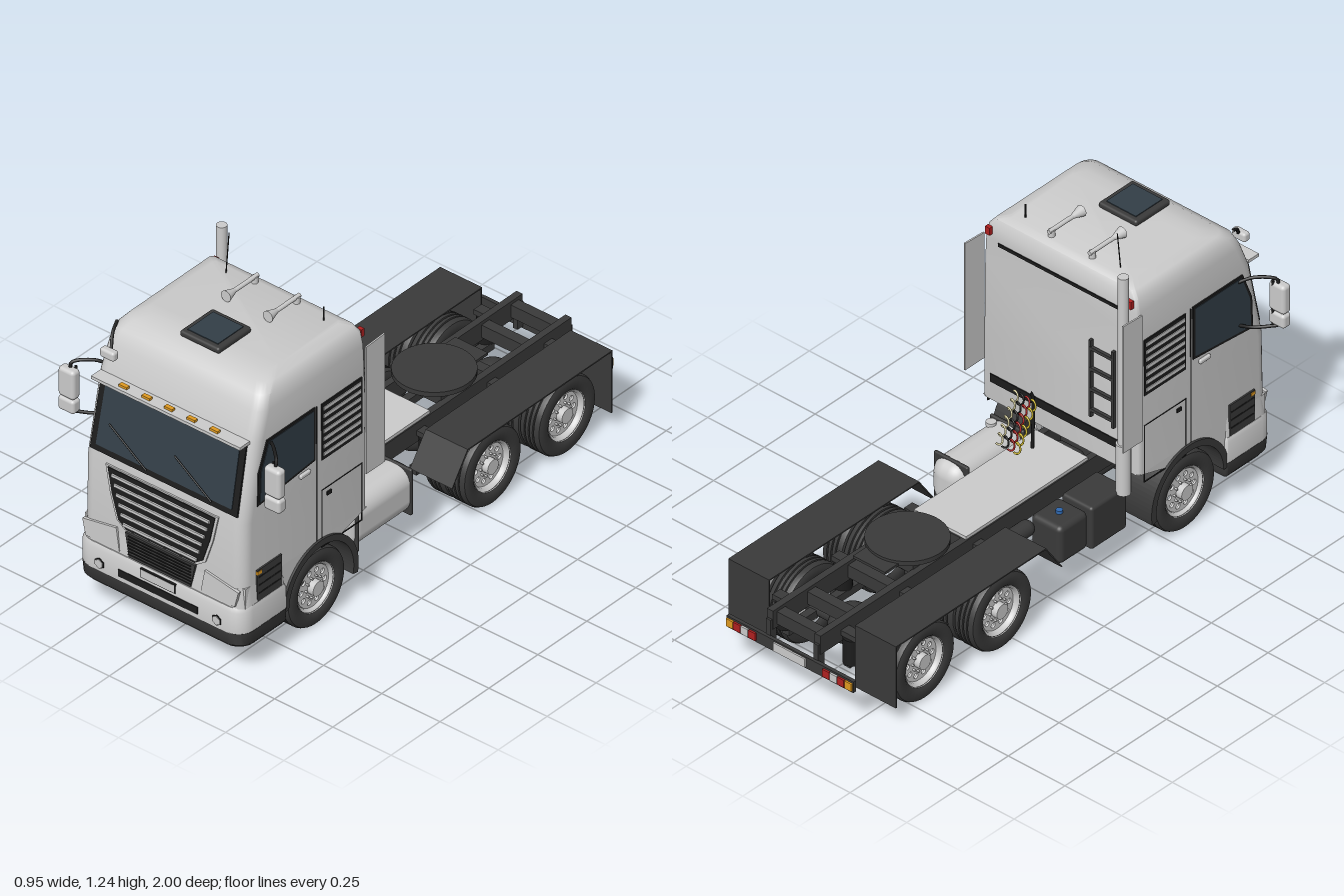
import * as THREE from 'three';
import { toCreasedNormals } from 'three/addons/utils/BufferGeometryUtils.js';
import { RoundedBoxGeometry } from 'three/addons/geometries/RoundedBoxGeometry.js';

const mat = (color, side = THREE.FrontSide) => new THREE.MeshStandardMaterial({ color, side });
const grey = mat(0xcccccc), dark = mat(0x3a3a3a), black = mat(0x1c1c1c), glass = mat(0x323e47);
const orange = mat(0xe09a20), red = mat(0xb02020), white = mat(0xeeeeee);
const grey2 = mat(0xcccccc, THREE.DoubleSide), dark2 = mat(0x3a3a3a, THREE.DoubleSide);
const V = (x, y, z) => new THREE.Vector3(x, y, z);
const sides = [1, -1];

// Front face of the cab: z as a function of height
const frontKnots = [[0.2, 0.985], [0.6, 0.976], [0.9, 0.915], [1.0, 0.877], [1.05, 0.85], [1.075, 0.81], [1.086, 0.75]];
function frontZ(y) {
  let i = 1;
  while (i < frontKnots.length - 1 && y > frontKnots[i][0]) i++;
  const [a, b] = [frontKnots[i - 1], frontKnots[i]];
  return a[1] + (b[1] - a[1]) * (y - a[0]) / (b[0] - a[0]);
}

// Stack of rounded rectangles: [y, halfWidth, zFront, zBack, frontRadius, backRadius]
function loft(rows) {
  const pos = [], idx = [], seg = 6, n = 4 * (seg + 1);
  for (const [y, w, zf, zb, rf, rb] of rows) {
    const corners = [[w - rf, zf - rf, rf], [-w + rf, zf - rf, rf], [-w + rb, zb + rb, rb], [w - rb, zb + rb, rb]];
    corners.forEach(([cx, cz, r], c) => {
      for (let k = 0; k <= seg; k++) {
        const a = (c + k / seg) * Math.PI / 2;
        pos.push(cx + r * Math.cos(a), y, cz + r * Math.sin(a));
      }
    });
  }
  const last = (rows.length - 1) * n;
  for (let j = 0; j < rows.length - 1; j++) for (let i = 0; i < n; i++) {
    const a = j * n + i, b = j * n + (i + 1) % n;
    idx.push(a, a + n, b + n, a, b + n, b);
  }
  for (let i = 1; i < n - 1; i++) idx.push(0, i, i + 1, last, last + i + 1, last + i);
  const g = new THREE.BufferGeometry();
  g.setAttribute('position', new THREE.Float32BufferAttribute(pos, 3));
  g.setIndex(idx);
  return toCreasedNormals(g, 0.7);
}

const shapeOf = pts => new THREE.Shape(pts.map(p => new THREE.Vector2(...p)));
const extrude = (shape, depth) => new THREE.ExtrudeGeometry(shape, { depth, bevelEnabled: false, curveSegments: 20 });
const box = (w, h, d, x, y, z) => new THREE.BoxGeometry(w, h, d).translate(x, y, z);
const rbox = (w, h, d, r, x, y, z) => new RoundedBoxGeometry(w, h, d, 4, r).translate(x, y, z);
const cylY = (r, h, x, y, z, r2 = r, n = 24) => new THREE.CylinderGeometry(r, r2, h, n).translate(x, y, z);
const cylX = (r, h, x, y, z, n = 24) => new THREE.CylinderGeometry(r, r, h, n).rotateZ(-Math.PI / 2).translate(x, y, z);
const cylZ = (r, h, x, y, z, n = 24) => new THREE.CylinderGeometry(r, r, h, n).rotateX(Math.PI / 2).translate(x, y, z);
const tube = (pts, r, seg = 16) => new THREE.TubeGeometry(new THREE.CatmullRomCurve3(pts.map(p => V(...p))), seg, r, 8);
// Plate drawn in (z, y); its outer face lies at |x| = outer
const sidePlate = (shape, outer, depth, s) => extrude(shape, depth).rotateY(-Math.PI / 2).translate(s > 0 ? outer : depth - outer, 0, 0);
// Plate drawn in (x, y), laid on the sloping cab front and standing proud of it
function frontPlate(shape, proud) {
  const g = extrude(shape, 0.012), p = g.attributes.position;
  for (let i = 0; i < p.count; i++) p.setZ(i, p.getZ(i) + frontZ(p.getY(i)) + proud - 0.012);
  g.computeVertexNormals();
  return g;
}
const trapezoid = (wTop, wBottom, y0, y1) => shapeOf([[-wBottom, y0], [wBottom, y0], [wTop, y1], [-wTop, y1]]);

export function createModel() {
  const root = new THREE.Group();
  root.name = 'tractorTruck';
  const add = (name, geo, m = grey, parent = root) => {
    const mesh = new THREE.Mesh(geo, m);
    mesh.name = name;
    parent.add(mesh);
    return mesh;
  };

  // Cab shell, nose and bumper
  add('cabShell', loft([[0.345, 0.345, 0.345], [0.6, 0.345, 0.345], [0.9, 0.342, 0.345], [1.0, 0.337, 0.345],
    [1.05, 0.328, 0.348], [1.075, 0.308, 0.36], [1.086, 0.27, 0.39]].map(([y, w, zb]) => [y, w, frontZ(y), zb, 0.045, 0.015])));
  add('nose', loft([[0.26, 0.352, 0.99, 0.77, 0.05, 0.01], [0.35, 0.345, 0.982, 0.77, 0.045, 0.01]]));
  add('bumper', loft([[0.175, 0.357, 1.0, 0.765, 0.06, 0.01], [0.26, 0.357, 1.0, 0.765, 0.06, 0.01], [0.275, 0.352, 0.992, 0.77, 0.06, 0.01]]));
  add('bumperLip', loft([[0.115, 0.345, 0.985, 0.77, 0.06, 0.01], [0.13, 0.355, 0.997, 0.765, 0.06, 0.01], [0.178, 0.358, 1.0, 0.765, 0.06, 0.01]]), dark);

  // Windscreen and wipers
  add('windscreenFrame', frontPlate(trapezoid(0.312, 0.316, 0.63, 0.887), 0.004), black);
  add('windscreen', frontPlate(trapezoid(0.288, 0.292, 0.652, 0.872), 0.007), glass);
  for (const x of [-0.07, 0.21]) add('wiper', tube([[x, 0.648, frontZ(0.648) + 0.012], [x - 0.175, 0.745, frontZ(0.745) + 0.012]], 0.003, 2), black);

  // Sun visor with marker lamps
  add('visor', box(0.64, 0.012, 0.05, 0, 0.902, 0.938));
  for (const x of [-0.195, -0.097, 0, 0.097, 0.195]) add('markerLamp', box(0.034, 0.01, 0.016, x, 0.912, 0.942), orange);

  // Grilles
  const grilleOutline = k => shapeOf([[-0.15, 0.38], [0.15, 0.38], [0.185, 0.405], [0.215, 0.5], [0.235, 0.598],
    [-0.235, 0.598], [-0.215, 0.5], [-0.185, 0.405]].map(([x, y]) => [x * k, 0.49 + (y - 0.49) * k]));
  add('grilleSurround', frontPlate(grilleOutline(1.03), 0.006));
  add('grille', frontPlate(grilleOutline(0.98), 0.009), black);
  for (let i = 0; i < 6; i++) {
    const y = 0.4 + i * 0.0345;
    add('grilleSlat', box(2 * (0.158 + 0.3 * (y - 0.4)), 0.011, 0.012, 0, y, frontZ(y) + 0.009));
  }
  add('lowerGrille', frontPlate(trapezoid(0.15, 0.132, 0.28, 0.372), 0.01), dark);
  for (let i = 0; i < 7; i++) add('lowerGrilleBar', box(0.27, 0.003, 0.004, 0, 0.292 + i * 0.012, 0.994), black);

  // Bumper fittings
  add('bumperSlot', box(0.34, 0.028, 0.01, 0, 0.206, 0.998), black);
  add('frontPlateFrame', box(0.15, 0.036, 0.008, 0, 0.25, 1.0), black);
  add('frontNumberPlate', box(0.142, 0.03, 0.01, 0, 0.25, 1.0), white);
  for (const s of sides) {
    add('fogLampRim', cylZ(0.021, 0.012, s * 0.252, 0.206, 0.997, 6), black);
    add('fogLamp', cylZ(0.017, 0.014, s * 0.252, 0.206, 0.998, 6), white);
    const lamp = shapeOf([[0.175, 0.283], [0.32, 0.283], [0.335, 0.345], [0.19, 0.37]].map(([x, y]) => [x * s, y]));
    add('headlamp', frontPlate(lamp, 0.008));
  }

  for (const s of sides) {
    // Cab side: skirt around the wheel, arch trim, window, vents and hatch
    const skirt = new THREE.Shape();
    skirt.moveTo(0.345, 0.31);
    skirt.absarc(0.587, 0.16, 0.183, 2.18, 0, true);
    [[0.965, 0.16], [0.965, 0.35], [0.345, 0.35]].forEach(p => skirt.lineTo(...p));
    add('cabSkirt', sidePlate(skirt, 0.345, 0.03, s));
    const trim = new THREE.Shape();
    trim.absarc(0.587, 0.16, 0.19, Math.PI + 0.2, 0, true);
    trim.absarc(0.587, 0.16, 0.165, 0, Math.PI + 0.2, false);
    add('wheelArch', sidePlate(trim, 0.354, 0.13, s), dark);
    add('sideWindowSeal', sidePlate(shapeOf([[0.61, 0.68], [0.905, 0.652], [0.9, 0.78], [0.855, 0.892], [0.61, 0.892]]), 0.347, 0.01, s), black);
    add('sideWindow', sidePlate(shapeOf([[0.62, 0.69], [0.893, 0.664], [0.888, 0.78], [0.848, 0.883], [0.62, 0.883]]), 0.349, 0.01, s), glass);
    add('sideVent', box(0.01, 0.225, 0.205, s * 0.342, 0.773, 0.473), black);
    for (let i = 0; i < 7; i++) add('sideVentSlat', box(0.012, 0.014, 0.19, s * 0.344, 0.682 + i * 0.0305, 0.473));
    for (const y of [0.312, 0.54]) add('hatchSeam', box(0.004, 0.003, 0.205, s * 0.345, y, 0.473), black);
    for (const z of [0.37, 0.576]) add('hatchSeam', box(0.004, 0.23, 0.003, s * 0.345, 0.426, z), black);
    add('doorSeam', box(0.004, 0.55, 0.003, s * 0.344, 0.615, 0.6), black);
    add('hatchHandle', box(0.01, 0.014, 0.022, s * 0.345, 0.515, 0.54), black);
    add('doorHandle', rbox(0.014, 0.016, 0.052, 0.005, s * 0.348, 0.655, 0.665), grey);
    add('stepVent', box(0.012, 0.125, 0.125, s * 0.345, 0.337, 0.848), dark);
    for (let i = 0; i < 3; i++) add('stepVentSlat', box(0.014, 0.006, 0.115, s * 0.345, 0.305 + i * 0.032, 0.848), black);
    add('sideMarker', box(0.012, 0.012, 0.022, s * 0.347, 0.388, 0.9), orange);
    add('rearMarker', box(0.02, 0.03, 0.015, s * 0.312, 1.035, 0.338), red);
    // Air deflector behind the cab
    add('airDeflector', sidePlate(shapeOf([[0.26, 0.49], [0.355, 0.49], [0.355, 1.0], [0.26, 1.005]]), 0.352, 0.006, s));
    // Mirrors and their arms
    add('mainMirror', rbox(0.07, 0.115, 0.04, 0.014, s * 0.442, 0.812, 0.93).rotateY(0));
    add('wideMirror', rbox(0.07, 0.054, 0.04, 0.012, s * 0.442, 0.726, 0.93));
    add('upperMirrorArm', tube([[s * 0.34, 0.87, 0.83], [s * 0.385, 0.893, 0.87], [s * 0.44, 0.885, 0.92], [s * 0.44, 0.86, 0.925]], 0.006), black);
    add('lowerMirrorArm', tube([[s * 0.34, 0.7, 0.83], [s * 0.375, 0.685, 0.87], [s * 0.44, 0.695, 0.925]], 0.006), black);
    add('mirrorPost', cylY(0.005, 0.18, s * 0.425, 0.785, 0.915), black);
    // Roof horns
    add('horn', cylZ(0.008, 0.15, s * 0.09, 1.108, 0.46));
    add('hornBell', new THREE.CylinderGeometry(0.021, 0.008, 0.045, 24).rotateX(Math.PI / 2).translate(s * 0.09, 1.108, 0.525));
    add('hornFoot', cylY(0.012, 0.03, s * 0.09, 1.095, 0.4));
  }

  // Roof and rear wall fittings
  add('roofHatch', rbox(0.17, 0.024, 0.17, 0.01, 0, 1.094, 0.707), dark);
  add('roofHatchGlass', box(0.13, 0.004, 0.13, 0, 1.107, 0.707), glass);
  add('antenna', tube([[-0.197, 1.08, 0.42], [-0.2, 1.237, 0.4]], 0.002, 2), black);
  add('shortAntenna', cylY(0.003, 0.06, 0.223, 1.108, 0.42), black);
  add('kerbMirror', rbox(0.062, 0.036, 0.03, 0.01, -0.28, 0.992, 0.918));
  add('kerbMirrorArm', tube([[-0.315, 1.065, 0.835], [-0.3, 1.045, 0.875], [-0.278, 1.0, 0.91]], 0.006), black);
  add('rearTrimLine', box(0.55, 0.012, 0.006, 0, 0.99, 0.344), black);
  add('rearTrimBand', box(0.62, 0.032, 0.006, 0, 0.435, 0.344), black);
  for (const x of [-0.24, -0.14]) add('ladderRail', box(0.01, 0.31, 0.014, x, 0.655, 0.337), dark);
  for (let i = 0; i < 4; i++) add('ladderRung', box(0.1, 0.012, 0.012, -0.19, 0.53 + i * 0.083, 0.335), dark);
  add('exhaustStack', cylY(0.019, 0.88, -0.312, 0.725, 0.305));
  add('exhaustBase', cylY(0.026, 0.2, -0.312, 0.39, 0.305));

  // Coiled trailer hoses
  add('hosePost', tube([[0.04, 0.33, 0.25], [0.04, 0.54, 0.25], [0.04, 0.565, 0.235]], 0.006), black);
  [0xd8c030, 0xb02020, 0x1c1c1c, 0xd8d0a0].forEach((c, k) => {
    const pts = [];
    for (let i = 0; i <= 72; i++) {
      const t = i / 72, a = t * Math.PI * 12;
      pts.push([0.005 + k * 0.026 + 0.012 * Math.cos(a), 0.55 - 0.16 * t + 0.012 * Math.sin(a), 0.22 - 0.09 * t]);
    }
    add('coiledHose', tube(pts, 0.0035, 150), mat(c));
  });

  // Chassis frame, deck and driveline
  for (const s of sides) add('frameRail', box(0.026, 0.075, 1.8, s * 0.105, 0.262, -0.07), dark);
  for (const z of [-0.93, -0.78, -0.58, -0.22, 0.1, 0.75]) add('crossMember', box(0.2, 0.05, 0.04, 0, 0.262, z), dark);
  add('deckPlate', box(0.23, 0.012, 0.6, 0, 0.307, 0.05));
  add('engine', rbox(0.17, 0.2, 0.36, 0.03, 0, 0.25, 0.6), dark);
  add('gearbox', rbox(0.13, 0.13, 0.26, 0.03, 0, 0.22, 0.28), dark);
  add('driveShaft', cylZ(0.018, 0.85, 0, 0.17, -0.27), dark);
  add('frontAxle', box(0.52, 0.04, 0.05, 0, 0.135, 0.587), dark);
  add('fifthWheelBase', box(0.19, 0.05, 0.16, 0, 0.305, -0.41), dark);
  add('fifthWheel', cylY(0.142, 0.018, 0, 0.337, -0.41, 0.142, 40), dark);
  add('fifthWheelRamp', box(0.14, 0.01, 0.1, 0, 0.331, -0.55).rotateX(0), dark);
  for (const s of sides) {
    for (const z of [-0.85, -0.56, -0.2]) {
      add('airSpring', cylY(0.032, 0.1, s * 0.15, 0.2, z), black);
      add('springBracket', box(0.09, 0.02, 0.04, s * 0.14, 0.26, z), dark);
    }
    add('suspensionBeam', box(0.03, 0.03, 0.72, s * 0.135, 0.14, -0.5), dark);
    // Rear mudguards and flaps: a sheet folded along its length
    const fold = [[-0.06, 0.215], [-0.14, 0.33], [-0.88, 0.33], [-0.88, 0.08]];
    const sheet = [...fold, ...[[-0.875, 0.08], [-0.875, 0.325], [-0.142, 0.325], [-0.064, 0.213]]];
    add('rearMudguard', sidePlate(shapeOf(sheet), 0.37, 0.18, s), dark2);
  }

  // Fuel tank, battery boxes and air bottle
  add('fuelTank', rbox(0.145, 0.18, 0.36, 0.06, 0.213, 0.22, 0.18));
  for (const z of [0.045, 0.32]) add('tankStrap', rbox(0.15, 0.185, 0.014, 0.006, 0.213, 0.22, z), dark);
  add('tankCap', cylY(0.018, 0.015, 0.25, 0.312, 0.28));
  add('reservoirBox', rbox(0.135, 0.15, 0.14, 0.02, -0.24, 0.225, 0.07), dark);
  add('reservoirCap', cylY(0.012, 0.014, -0.24, 0.305, 0.07), mat(0x2f68b0));
  add('batteryBox', rbox(0.135, 0.17, 0.175, 0.012, -0.24, 0.215, 0.242), dark);
  add('airBottle', new THREE.CapsuleGeometry(0.03, 0.12, 6, 20).rotateX(Math.PI / 2).translate(-0.172, 0.25, -0.08), dark);

  // Rear light bar
  add('lightBar', box(0.56, 0.045, 0.014, 0, 0.18, -0.982), dark);
  add('rearNumberPlate', box(0.14, 0.034, 0.01, 0, 0.18, -0.99), white);
  for (const s of sides) {
    add('barBracket', box(0.02, 0.1, 0.03, s * 0.105, 0.215, -0.963), dark);
    [orange, red, white, red].forEach((m, i) => add('tailLamp', box(0.03, 0.03, 0.012, s * (0.262 - i * 0.033), 0.18, -0.99), m));
  }

  // Wheels, built facing +x
  const tyreProfile = [[0.09, -0.034], [0.1, -0.043], [0.13, -0.045], [0.143, -0.04], [0.148, -0.03]];
  for (const y of [-0.018, 0, 0.018]) tyreProfile.push([0.148, y - 0.003], [0.143, y - 0.002], [0.143, y + 0.002], [0.148, y + 0.003]);
  tyreProfile.push([0.148, 0.03], [0.143, 0.04], [0.13, 0.045], [0.1, 0.043], [0.09, 0.034]);
  const lathe = pts => new THREE.LatheGeometry(pts.map(p => new THREE.Vector2(...p)), 40).rotateZ(-Math.PI / 2);
  const tyreGeo = toCreasedNormals(lathe(tyreProfile), 0.7);
  const rimGeo = lathe([[0.08, -0.035], [0.078, 0], [0.082, 0.03], [0.093, 0.036], [0.093, 0.04]]);
  const discShape = new THREE.Shape().absarc(0, 0, 0.08, 0, Math.PI * 2);
  for (let i = 0; i < 10; i++) {
    const a = i * Math.PI / 5;
    discShape.holes.push(new THREE.Path().absarc(0.06 * Math.cos(a), 0.06 * Math.sin(a), 0.01, 0, Math.PI * 2, true));
  }
  const discGeo = extrude(discShape, 0.008).rotateY(Math.PI / 2);
  function wheel(name, s, x, z, face) {
    const g = new THREE.Group();
    g.name = name;
    add('tyre', tyreGeo, dark, g);
    add('rim', rimGeo, grey2, g);
    add('wheelDisc', discGeo.clone().translate(face, 0, 0), grey, g);
    add('hub', cylX(0.028, 0.035, face + 0.015, 0, 0), grey, g);
    for (let i = 0; i < 10; i++) {
      const a = (i + 0.5) * Math.PI / 5;
      add('wheelNut', cylX(0.004, 0.012, face + 0.012, 0.04 * Math.cos(a), 0.04 * Math.sin(a), 6), grey, g);
    }
    g.position.set(s * x, 0.149, z);
    if (s < 0) g.rotation.y = Math.PI;
    root.add(g);
  }
  for (const s of sides) {
    wheel('frontWheel', s, 0.291, 0.587, 0.018);
    for (const z of [-0.314, -0.694]) {
      wheel('rearOuterWheel', s, 0.291, z, 0.01);
      wheel('rearInnerWheel', s, 0.202, z, -0.01);
    }
  }
  for (const z of [-0.314, -0.694]) {
    add('rearAxle', cylX(0.03, 0.5, 0, 0.149, z), dark);
    add('differential', new THREE.SphereGeometry(0.07, 24, 16).scale(0.95, 1, 1.2).translate(0, 0.15, z), dark);
  }
  return root;
}
